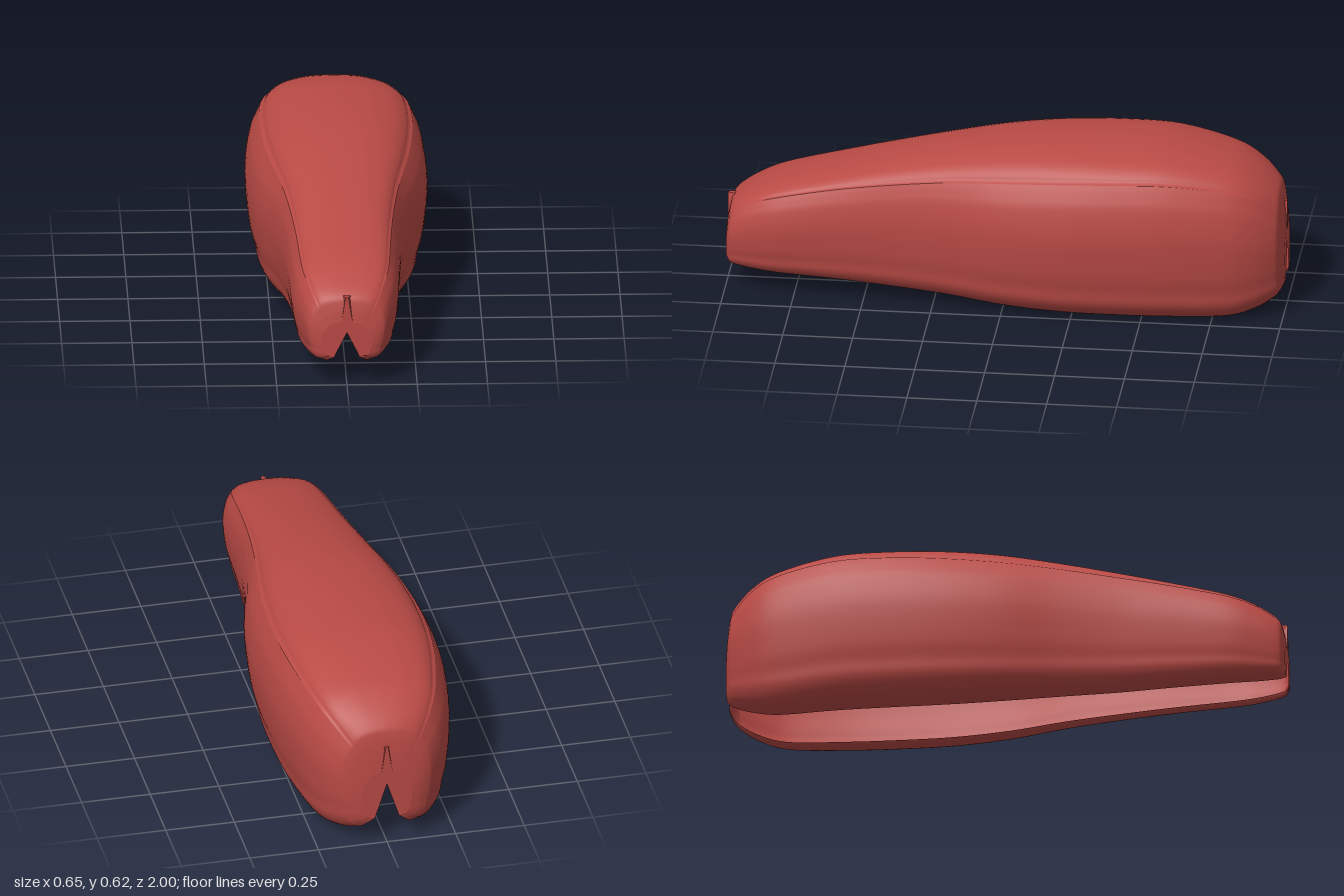
import * as THREE from 'three';

const red = new THREE.MeshStandardMaterial({ color: 0xb94a45, side: THREE.DoubleSide });
red.name = 'red';

// Stations front to back: z, top, bottom, half width, crease height, crease x
const stations = [
  [0.999, 0.235, 0.103, 0.092, 0.212, 0.07],
  [0.99, 0.29, 0.094, 0.122, 0.258, 0.088],
  [0.972, 0.328, 0.085, 0.142, 0.3, 0.11],
  [0.9, 0.375, 0.075, 0.167, 0.345, 0.135],
  [0.8, 0.418, 0.068, 0.188, 0.38, 0.155],
  [0.6, 0.472, 0.057, 0.2, 0.425, 0.168],
  [0.4, 0.522, 0.043, 0.215, 0.46, 0.185],
  [0.2, 0.565, 0.03, 0.248, 0.49, 0.21],
  [0.0, 0.6, 0.013, 0.295, 0.51, 0.243],
  [-0.2, 0.618, 0.003, 0.32, 0.525, 0.265],
  [-0.4, 0.622, 0.001, 0.324, 0.535, 0.272],
  [-0.6, 0.615, 0.001, 0.312, 0.535, 0.26],
  [-0.8, 0.57, 0.002, 0.272, 0.505, 0.222],
  [-0.9, 0.52, 0.025, 0.228, 0.465, 0.182],
  [-0.965, 0.465, 0.057, 0.177, 0.41, 0.135],
  [-0.982, 0.43, 0.073, 0.152, 0.38, 0.115],
  [-0.992, 0.37, 0.087, 0.124, 0.33, 0.09],
  [-0.999, 0.29, 0.103, 0.092, 0.265, 0.07],
];

const track = (a, b, c) => new THREE.CatmullRomCurve3(
  stations.map((s) => new THREE.Vector3(s[a], s[b], s[c])), false, 'catmullrom', 0.5);
const tracks = [track(0, 1, 2), track(3, 4, 5)];

// Half section split at the crease: top curve, and side curve down to the open lower rim
function section(t) {
  const [{ x: z, y: T, z: B }, { x: w, y: C, z: cx }] = tracks.map((c) => c.getPoint(t));
  const d = T - C, h = C - B;
  const curve = (pts, n) => new THREE.SplineCurve(pts.map((p) => new THREE.Vector2(...p))).getPoints(n);
  const half = curve([
    [0, T], [0.4 * cx, T - 0.08 * d], [0.74 * cx, T - 0.36 * d],
    [0.9 * cx, T - 0.68 * d], [0.95 * cx, C + 0.1 * d], [cx, C],
  ], 15);
  const side = curve([
    [cx, C], [cx + 0.33 * (w - cx), C - 0.065 * h], [cx + 0.73 * (w - cx), C - 0.17 * h],
    [w, C - 0.37 * h], [0.965 * w, B + 0.38 * h], [0.91 * w, B + 0.24 * h],
    [0.875 * w, B + 0.14 * h], [0.77 * w, B + 0.055 * h], [0.63 * w, B + 0.005],
    [0.5 * w, B], [0.44 * w, B + 0.011],
  ], 42);
  const mirror = (pts) => pts.map((p) => new THREE.Vector2(-p.x, p.y)).reverse();
  return { z, top: [...mirror(half), ...half.slice(1)], left: side, right: mirror(side) };
}

// Skin one strip of the section over all stations
function loft(key, sections) {
  const n = sections[0][key].length, pos = [], index = [];
  sections.forEach((s, i) => {
    for (const p of s[key]) pos.push(p.x, p.y, s.z);
    if (i === sections.length - 1) return;
    for (let j = 0; j < n - 1; j++) {
      const a = i * n + j, b = a + n;
      index.push(a, a + 1, b, a + 1, b + 1, b);
    }
  });
  const geo = new THREE.BufferGeometry();
  geo.setAttribute('position', new THREE.Float32BufferAttribute(pos, 3));
  geo.setIndex(index);
  geo.computeVertexNormals();
  return geo;
}

// Small upright rib whose outer face narrows towards the top
function ribGeometry(bottom, top) {
  const geo = new THREE.BoxGeometry(0.04, top - bottom, 0.05).toNonIndexed();
  const p = geo.attributes.position;
  for (let i = 0; i < p.count; i++) {
    if (p.getY(i) > 0 && p.getZ(i) > 0) p.setX(i, p.getX(i) * 0.25);
  }
  geo.translate(0, (top + bottom) / 2, 0.975);
  geo.computeVertexNormals();
  return geo;
}

export function createModel() {
  const group = new THREE.Group();
  const add = (name, geo) => {
    const mesh = new THREE.Mesh(geo, red);
    mesh.name = name;
    group.add(mesh);
    return mesh;
  };

  // Hollow shell, open below: crowned top panel and two side panels that curl under
  const steps = (stations.length - 1) * 5;
  const sections = Array.from({ length: steps + 1 }, (_, i) => section(i / steps));
  add('topPanel', loft('top', sections));
  add('leftSidePanel', loft('left', sections));
  add('rightSidePanel', loft('right', sections));

  // Flat lower faces of the rounded ends, each with a V cut
  for (const [name, s, apex] of [['frontEnd', sections[0], 0.195], ['backEnd', sections[steps], 0.24]]) {
    const outline = new THREE.Shape([
      ...s.top, ...s.left.slice(1), new THREE.Vector2(0, apex), ...s.right.slice(0, -1)]);
    add(name, new THREE.ShapeGeometry(outline)).position.z = s.z;
  }

  // Ribs standing out of the rounded ends above the V cuts
  add('frontRib', ribGeometry(0.233, 0.326));
  add('backRib', ribGeometry(0.288, 0.392)).rotation.y = Math.PI;
  return group;
}
